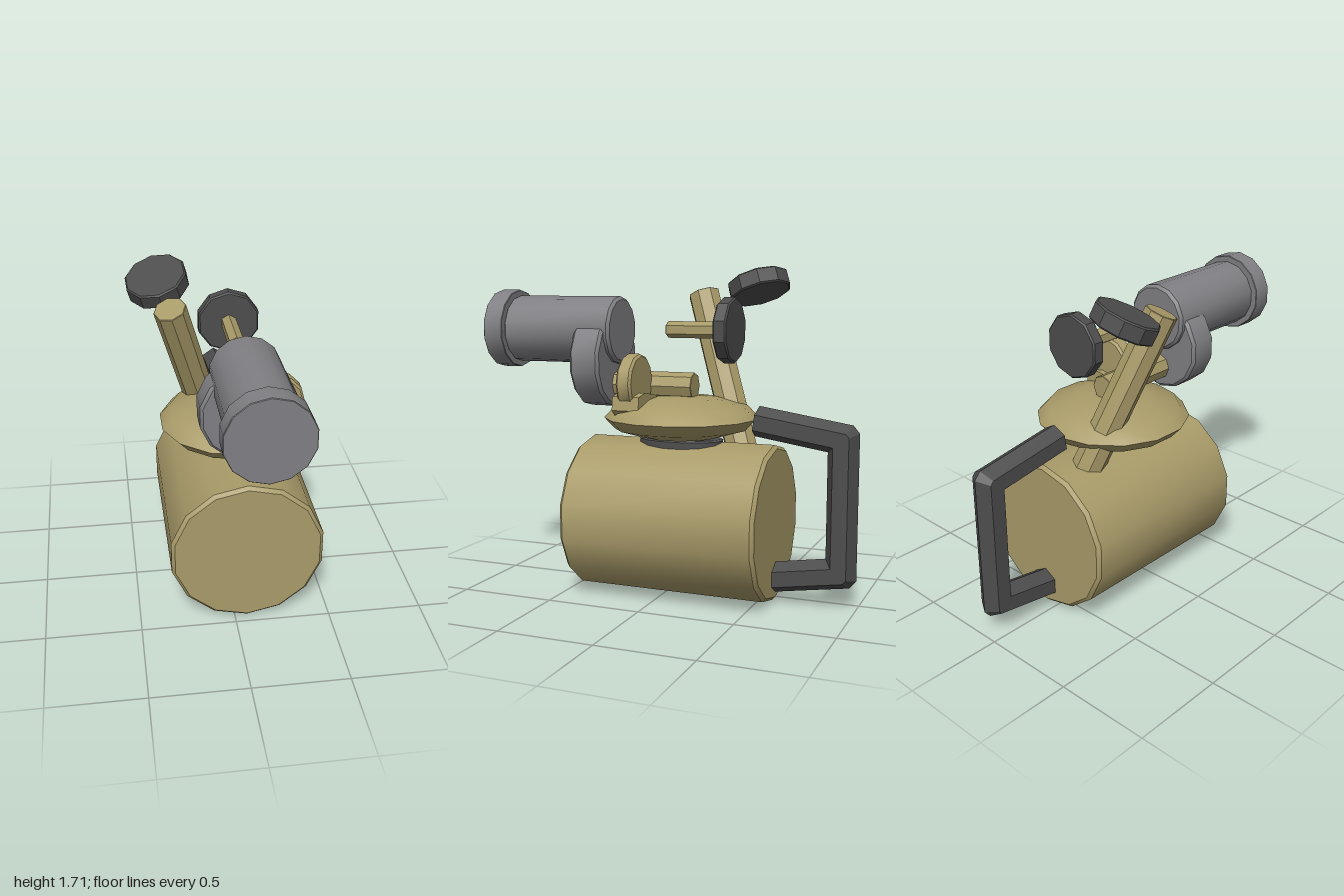
import * as THREE from 'three';
import { toCreasedNormals } from 'three/addons/utils/BufferGeometryUtils.js';

const CX = 0.065; // centre line of the stove

const brass = new THREE.MeshStandardMaterial({ color: 0xa99b69 });
brass.name = 'brass';
const steel = new THREE.MeshStandardMaterial({ color: 0x807f83 });
steel.name = 'steel';
const black = new THREE.MeshStandardMaterial({ color: 0x4d4d4d });
black.name = 'blackPlastic';

// Drum along y, centred, with a small bevel on both rims
function drum(radius, length, sides, bevel) {
  const h = length / 2;
  const profile = [
    [0, -h], [radius - bevel, -h], [radius, -h + bevel],
    [radius, h - bevel], [radius - bevel, h], [0, h],
  ].map(([x, y]) => new THREE.Vector2(x, y));
  return toCreasedNormals(new THREE.LatheGeometry(profile, sides), 0.6);
}

// Drum lying along z between two depths
function drumZ(radius, z0, z1, y, sides, bevel, x = CX) {
  return drum(radius, z1 - z0, sides, bevel).rotateX(Math.PI / 2).translate(x, y, (z0 + z1) / 2);
}

// Hexagonal bar following [z, y] points, with bevelled outer corners
function hexBar(path, radius) {
  const pts = path.map(([z, y]) => new THREE.Vector2(z, y));
  const normals = pts.slice(1).map((p, i) => {
    const d = p.clone().sub(pts[i]).normalize();
    return new THREE.Vector2(d.y, -d.x);
  });
  const rings = [{ p: pts[0], n: normals[0], m: normals[0] }];
  for (let i = 1; i < pts.length - 1; i++) {
    const a = normals[i - 1], b = normals[i];
    const m = a.clone().add(b).divideScalar(1 + a.dot(b));
    rings.push({ p: pts[i], n: a.clone().lerp(m, 0.5), m }, { p: pts[i], n: b.clone().lerp(m, 0.5), m });
  }
  const last = normals[normals.length - 1];
  rings.push({ p: pts[pts.length - 1], n: last, m: last });

  const position = [], index = [];
  rings.forEach(({ p, n, m }, i) => {
    for (let j = 0; j < 6; j++) {
      const a = (j * Math.PI) / 3, c = Math.cos(a) * radius;
      const dir = c > 0 ? n : m;
      position.push(CX + Math.sin(a) * radius, p.y + dir.y * c, p.x + dir.x * c);
      if (i < rings.length - 1) {
        const q = i * 6 + j, r = i * 6 + ((j + 1) % 6);
        index.push(q, r, q + 6, r, r + 6, q + 6);
      }
    }
  });
  const end = (rings.length - 1) * 6;
  for (let j = 1; j < 5; j++) index.push(0, j + 1, j, end, end + j, end + j + 1);
  const g = new THREE.BufferGeometry();
  g.setAttribute('position', new THREE.Float32BufferAttribute(position, 3));
  g.setIndex(index);
  const flat = g.toNonIndexed();
  flat.computeVertexNormals();
  return flat;
}

export function createModel() {
  const group = new THREE.Group();
  const add = (name, geometry, material) => {
    const mesh = new THREE.Mesh(geometry, material);
    mesh.name = name;
    group.add(mesh);
    return mesh;
  };

  // Fuel tank lying on its side
  add('fuelTank', drumZ(0.405, -0.58, 0.46, 0.41, 14, 0.018), brass);

  // Gasket and lens-shaped cap on top of the tank
  add('gasket', drum(0.14, 0.06, 14, 0.008).scale(1, 1, 1.65).translate(CX, 0.797, -0.06), black);
  add('tankCap', toCreasedNormals(
    new THREE.SphereGeometry(0.402, 14, 6).scale(1, 0.288, 1).rotateY(Math.PI / 2).translate(CX, 0.935, -0.06), 0.6), brass);

  // Leaning pump tube with its knob on the same slant
  const axis = new THREE.Vector3(-0.28, 1, 0.37).normalize();
  const lean = new THREE.Quaternion().setFromUnitVectors(new THREE.Vector3(0, 1, 0), axis);
  const top = new THREE.Vector3(-0.265, 1.57, -0.06);
  const tubeLength = 0.92;
  const tube = add('pumpTube', drum(0.085, tubeLength, 8, 0.003), brass);
  tube.quaternion.copy(lean);
  tube.position.copy(top).addScaledVector(axis, -tubeLength / 2);
  const pumpKnob = add('pumpKnob', drum(0.167, 0.09, 10, 0.008), black);
  pumpKnob.quaternion.copy(lean);
  pumpKnob.position.set(-0.305, 1.607, -0.36);

  // Valve stem and upright valve knob
  add('valveStem', drumZ(0.043, -0.29, 0.015, 1.387, 6, 0.003), brass);
  add('valveKnob', drumZ(0.168, -0.355, -0.285, 1.387, 10, 0.008), black);

  // Feed pipe running to the burner
  add('feedPipe', drumZ(0.07, -0.135, 0.35, 1.097, 8, 0.003), brass);

  // Burner: rear housing, barrel and mouth ring
  add('burnerHousing', drumZ(0.247, 0.305, 0.47, 1.222, 14, 0.015), steel);
  add('burnerBarrel', drumZ(0.178, 0.275, 0.9, 1.38, 14, 0.015), steel);
  add('burnerMouth', drumZ(0.21, 0.89, 1.0, 1.38, 14, 0.003), steel);

  // Filler wheel in a bracket on the side of the cap
  add('fillerWheel', drumZ(0.145, 0.085, 0.167, 1.125, 12, 0.012, 0.25), brass);
  const side = new THREE.Shape(
    [[0.12, 0.98], [0.33, 0.955], [0.37, 0.99], [0.36, 1.06], [0.28, 1.075], [0.13, 1.05]]
      .map(([x, y]) => new THREE.Vector2(x, y)));
  add('fillerBracket', new THREE.ExtrudeGeometry(side, { depth: 0.145, bevelEnabled: false })
    .translate(0, 0, 0.052), brass);

  // Carrying handle behind the tank
  add('handle', hexBar([[-0.472, 0.932], [-0.918, 0.862], [-0.918, 0.185], [-0.54, 0.125]], 0.079), black);

  return group;
}
